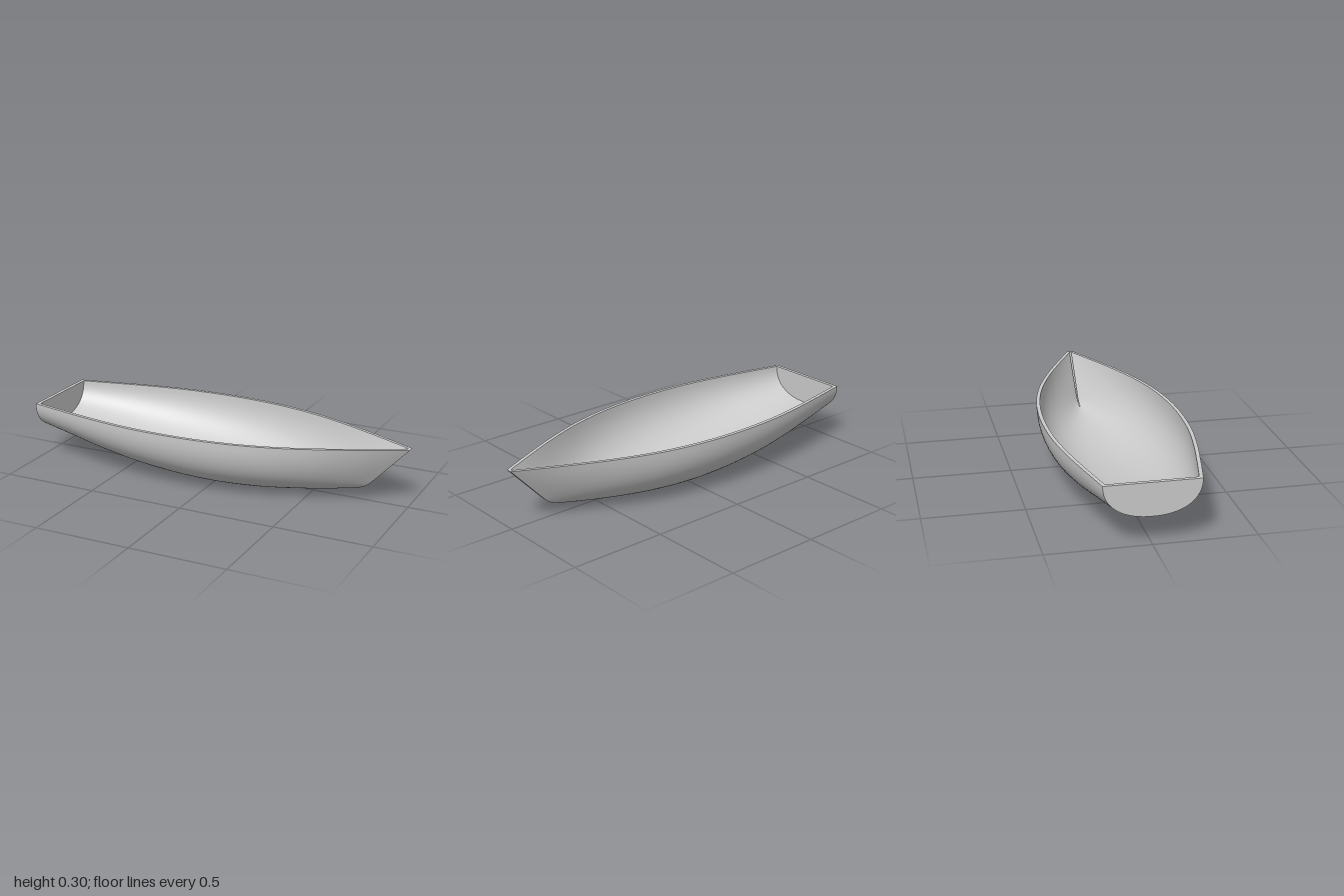
import * as THREE from 'three';

const TOP = 0.305, STATIONS = 72, GIRTH = 48;
const { clamp, lerp } = THREE.MathUtils;

// Smooth curve through [x, value] pairs
function curve(pairs) {
  const c = new THREE.CubicInterpolant(pairs.map(p => p[0]), pairs.map(p => p[1]), 1, [0]);
  return x => c.evaluate(x)[0];
}

// Half breadth at the rim, and height of the keel line
const halfBreadth = curve([[-1, 0.23], [-0.8, 0.275], [-0.6, 0.316], [-0.4, 0.346], [-0.2, 0.358],
  [0, 0.353], [0.2, 0.328], [0.4, 0.279], [0.6, 0.205], [0.8, 0.114], [1, 0.016]]);
const keelHeight = curve([[-1, 0.14], [-0.8, 0.103], [-0.6, 0.064], [-0.4, 0.033], [-0.2, 0.012],
  [0, 0.001], [0.2, 0.003], [0.4, 0.016], [0.6, 0.036], [0.7, 0.05]]);

// Point on a skin: u runs stern to bow, v runs -1..1 from rim to rim under the keel
function skinPoint(u, v, inner) {
  const xs = inner ? lerp(-0.98, 0.985, u) : lerp(-1, 1, u);
  const rake = 0.3 * Math.max(0, (xs + 0.2) / 1.2) ** 2;
  const width = Math.max(0.0005, halfBreadth(xs) - (inner ? 0.019 : 0));
  const keel = keelHeight(xs - rake) + (inner ? 0.016 : 0);
  const a = (1 - Math.abs(v)) * Math.PI / 2, p = 2 / 2.25;
  const drop = Math.sin(a) ** p;
  const z = Math.sign(v) * width * Math.max(0, Math.cos(a)) ** p;
  const h = clamp(1 - drop, 0, 1);
  // raked stem with a rounded forefoot
  const lean = 0.206 + 0.794 * h - 0.206 * Math.exp(-h / 0.05);
  return new THREE.Vector3(xs - rake + rake * lean, TOP - (TOP - keel) * drop, z);
}

// Grid surface from point(a, b), with a and b in 0..1
function surface(name, nA, nB, point, flip = false) {
  const pos = [], index = [];
  for (let i = 0; i <= nA; i++)
    for (let j = 0; j <= nB; j++) pos.push(...point(i / nA, j / nB).toArray());
  for (let i = 0; i < nA; i++)
    for (let j = 0; j < nB; j++) {
      const a = i * (nB + 1) + j, b = a + nB + 1;
      if (flip) index.push(a, a + 1, b, b, a + 1, b + 1);
      else index.push(a, b, a + 1, b, b + 1, a + 1);
    }
  const g = new THREE.BufferGeometry();
  g.setAttribute('position', new THREE.Float32BufferAttribute(pos, 3));
  g.setIndex(index);
  g.computeVertexNormals();
  const mesh = new THREE.Mesh(g, new THREE.MeshStandardMaterial({ color: 0xcccccc, side: THREE.DoubleSide }));
  mesh.name = name;
  return mesh;
}

// Flat panel closing one end of a skin, from side to side
const endPanel = (name, u, inner, flip) => surface(name, GIRTH / 2, 2, (a, b) =>
  skinPoint(u, a - 1, inner).lerp(skinPoint(u, 1 - a, inner), b), flip);

export function createModel() {
  const boat = new THREE.Group();
  boat.name = 'boatHull';

  // Outer and inner planking
  boat.add(surface('outerHull', STATIONS, GIRTH, (u, b) => skinPoint(u, b * 2 - 1, false)));
  boat.add(surface('innerHull', STATIONS, GIRTH, (u, b) => skinPoint(u, b * 2 - 1, true), true));

  // Transom faces at the stern and the narrow stem face at the bow
  boat.add(endPanel('transomOutside', 0, false, false));
  boat.add(endPanel('transomInside', 0, true, true));
  boat.add(endPanel('stemFace', 1, false, true));

  // Rim along both sides, across the transom and at the bow
  for (const side of [-1, 1])
    boat.add(surface(side > 0 ? 'rightRim' : 'leftRim', STATIONS, 1,
      (u, b) => skinPoint(u, side, b > 0.5), side < 0));
  boat.add(surface('transomRim', 1, 1, (a, b) => skinPoint(0, b * 2 - 1, a > 0.5), true));
  boat.add(surface('bowRim', 1, 1, (a, b) => skinPoint(1, b * 2 - 1, a < 0.5), true));
  return boat;
}
